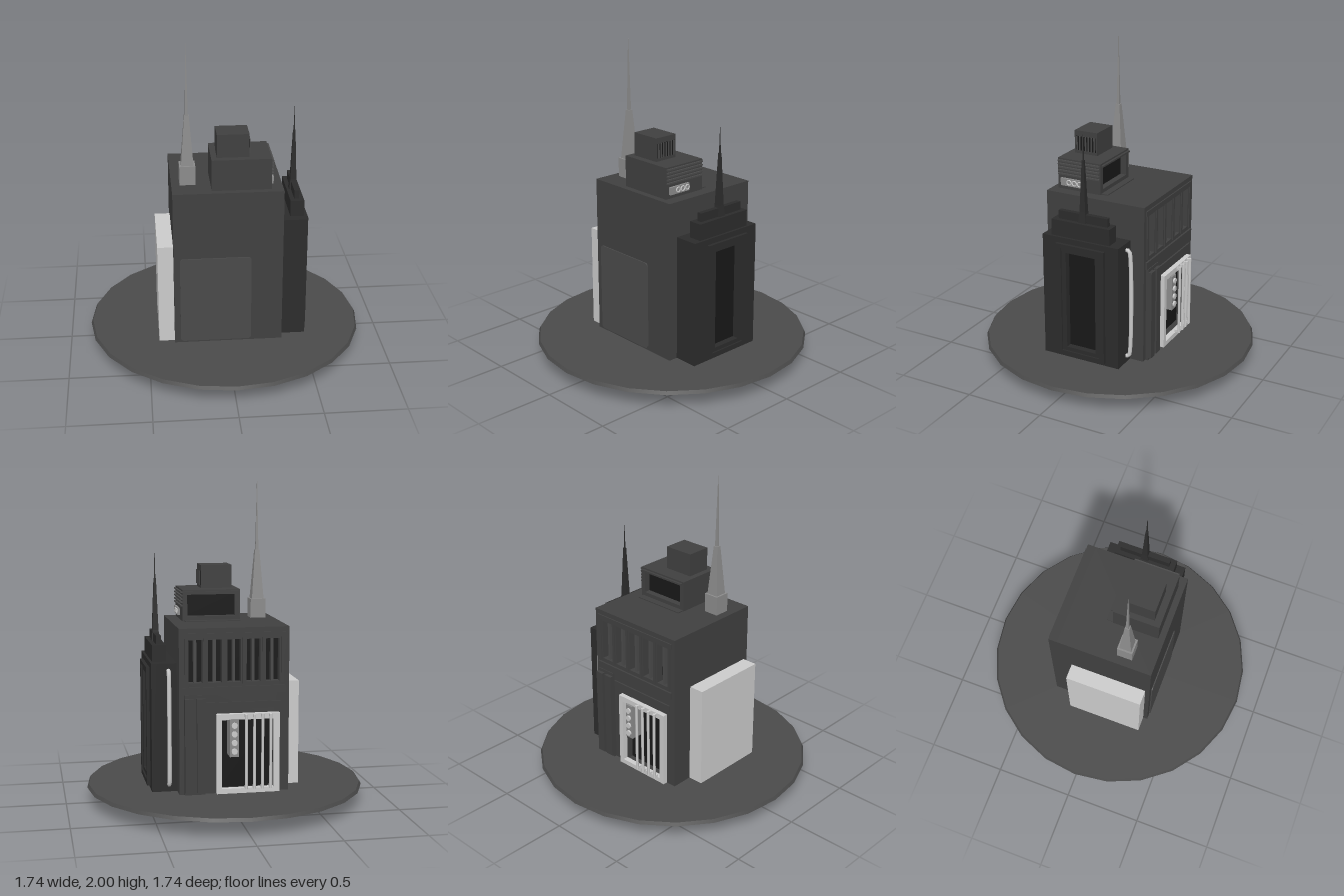
import * as THREE from 'three';

const mat = (color) => new THREE.MeshStandardMaterial({ color, side: THREE.DoubleSide });
const DARK = mat(0x404040), WING = mat(0x2c2c2c), BLACK = mat(0x181818);
const DISC = mat(0x4a4a4a), GREY = mat(0xcccccc), MID = mat(0x8c8c8c);

export function createModel() {
  const model = new THREE.Group();

  const add = (name, geo, m, parent = model) => {
    const mesh = new THREE.Mesh(geo, m);
    mesh.name = name;
    parent.add(mesh);
    return mesh;
  };
  // Box given by its limits
  const box = (name, m, x0, x1, y0, y1, z0, z1) => {
    const g = new THREE.BoxGeometry(x1 - x0, y1 - y0, z1 - z0);
    g.translate((x0 + x1) / 2, (y0 + y1) / 2, (z0 + z1) / 2);
    return add(name, g, m);
  };
  const trace = (p, [a0, a1, b0, b1]) => {
    p.moveTo(a0, b0);
    p.lineTo(a1, b0);
    p.lineTo(a1, b1);
    p.lineTo(a0, b1);
    p.closePath();
    return p;
  };
  // Rectangular plate with rectangular holes, running from z = 0 to depth
  const plate = (rect, holes, depth) => {
    const s = trace(new THREE.Shape(), rect);
    holes.forEach((h) => s.holes.push(trace(new THREE.Path(), h)));
    return new THREE.ExtrudeGeometry(s, { depth, bevelEnabled: false });
  };
  const backPlate = (name, m, rect, holes, z0, z1) =>
    add(name, plate(rect, holes, z1 - z0).translate(0, 0, z0), m);
  const sidePlate = (name, m, [z0, z1, y0, y1], holes, x0, x1) => {
    const flip = holes.map(([a, b, c, d]) => [-b, -a, c, d]);
    const g = plate([-z1, -z0, y0, y1], flip, x1 - x0);
    return add(name, g.rotateY(Math.PI / 2).translate(x0, 0, 0), m);
  };
  // Four-sided tapering length, r0 and r1 being half widths
  const taper = (name, m, x, z, y0, y1, r0, r1) => {
    const g = new THREE.CylinderGeometry(r1 * Math.SQRT2, r0 * Math.SQRT2, y1 - y0, 4)
      .rotateY(Math.PI / 4).translate(x, (y0 + y1) / 2, z).toNonIndexed();
    g.computeVertexNormals();
    return add(name, g, m);
  };

  // Round ground slab
  add('groundDisc', new THREE.CylinderGeometry(0.857, 0.868, 0.02, 24).translate(0, 0.108, 0), DISC);

  // Square foot, hollowed in steps from below
  const foot = [[0.295, 0.235, 0], [0.235, 0.16, 0.03], [0.16, 0.07, 0.055]];
  foot.forEach(([o, i, y], n) => {
    const g = plate([-o, o, -o, o], [[-i, i, -i, i]], 0.1 - y);
    add('footStep' + (n + 1), g.rotateX(-Math.PI / 2).translate(0, y, 0), GREY);
  });
  box('footCore', GREY, -0.07, 0.07, 0.08, 0.1, -0.07, 0.07);

  // Main tower
  box('towerBody', DARK, -0.338, 0.335, 0.118, 1.13, -0.285, 0.329);
  const panel = new THREE.Shape();
  const r = 0.02, px0 = -0.3, px1 = 0.14, py0 = 0.13, py1 = 0.7;
  panel.absarc(px1 - r, py1 - r, r, 0, Math.PI / 2);
  panel.absarc(px0 + r, py1 - r, r, Math.PI / 2, Math.PI);
  panel.absarc(px0 + r, py0 + r, r, Math.PI, Math.PI * 1.5);
  panel.absarc(px1 - r, py0 + r, r, Math.PI * 1.5, Math.PI * 2);
  add('frontPanel', new THREE.ExtrudeGeometry(panel, { depth: 0.007, bevelEnabled: false, curveSegments: 5 })
    .translate(0, 0, 0.329), DISC);

  // Back wall: five tall windows over a doorway
  const windows = [], pitch = 0.118;
  for (let i = 0; i < 5; i++) {
    const c = (i - 2) * pitch;
    windows.push([c - 0.042, c + 0.042, 0.8, 1.06]);
  }
  backPlate('backWall', DARK, [-0.338, 0.335, 0.118, 1.13],
    [...windows, [-0.24, 0.08, 0.14, 0.58]], -0.338, -0.285);
  box('windowGlass', BLACK, -0.29, 0.29, 0.79, 1.07, -0.29, -0.283);
  box('doorwayBack', BLACK, -0.25, 0.09, 0.13, 0.59, -0.29, -0.283);
  windows.forEach(([a, b]) => box('windowMullion', DISC, a + 0.034, b - 0.034, 0.8, 1.06, -0.325, -0.29));
  for (let i = 0; i < 6; i++) {
    const c = (i - 2.5) * pitch;
    box('windowPilaster', DARK, c - 0.008, c + 0.008, 0.79, 1.07, -0.346, -0.335);
  }
  box('windowHead', DARK, -0.315, 0.315, 1.07, 1.1, -0.346, -0.335);
  box('windowSill', DARK, -0.315, 0.315, 0.73, 0.775, -0.35, -0.335);
  box('lowerLedge', DARK, -0.3, 0.17, 0.64, 0.68, -0.348, -0.335);

  // Twin pilasters beside the doorway
  box('pilasterBack', DARK, 0.18, 0.305, 0.118, 0.73, -0.355, -0.335);
  box('pilasterLeft', DARK, 0.253, 0.305, 0.135, 0.71, -0.376, -0.35);
  box('pilasterRight', DARK, 0.18, 0.232, 0.135, 0.71, -0.376, -0.35);

  // Light door frame, upright rods and a small control box
  backPlate('doorFrame', GREY, [-0.275, 0.112, 0.12, 0.61], [[-0.24, 0.08, 0.15, 0.575]], -0.37, -0.335);
  for (let i = 0; i < 4; i++) {
    const x = -0.215 + i * 0.05;
    add('doorRod', new THREE.CylinderGeometry(0.009, 0.009, 0.46, 8).translate(x, 0.38, -0.391), GREY);
    [0.16, 0.6].forEach((y) => box('rodBracket', GREY, x - 0.007, x + 0.007, y - 0.008, y + 0.008, -0.391, -0.365));
  }
  box('controlBox', MID, -0.02, 0.035, 0.35, 0.58, -0.385, -0.29);
  for (let i = 0; i < 4; i++) {
    add('controlDial', new THREE.CylinderGeometry(0.018, 0.018, 0.012, 12)
      .rotateX(Math.PI / 2).translate(0.0075, 0.385 + i * 0.053, -0.39), GREY);
  }

  // Plain annex on the right
  box('annex', GREY, -0.435, -0.33, 0.118, 0.77, -0.2, 0.3);

  // Left wing with a recessed portal
  box('wingCore', WING, 0.33, 0.455, 0.118, 0.91, -0.247, 0.27);
  sidePlate('wingFace', WING, [-0.247, 0.27, 0.118, 0.91], [[-0.095, 0.105, 0.19, 0.82]], 0.455, 0.49);
  sidePlate('portalFrame', WING, [-0.158, 0.17, 0.135, 0.875], [[-0.125, 0.135, 0.165, 0.85]], 0.49, 0.51);
  sidePlate('portalInnerFrame', WING, [-0.125, 0.135, 0.165, 0.85], [[-0.095, 0.105, 0.19, 0.82]], 0.49, 0.5);
  box('portalPanel', BLACK, 0.454, 0.46, 0.19, 0.82, -0.095, 0.105);
  box('wingStepLower', WING, 0.39, 0.475, 0.91, 1.012, -0.18, 0.215);
  box('wingStepUpper', WING, 0.417, 0.447, 1.012, 1.065, -0.152, 0.18);

  // Bent pipe behind the wing
  const pipePath = new THREE.CatmullRomCurve3([
    [-0.24, 0.165], [-0.262, 0.165], [-0.27, 0.18], [-0.27, 0.85], [-0.262, 0.865], [-0.24, 0.865],
  ].map(([z, y]) => new THREE.Vector3(0.386, y, z)), false, 'centripetal');
  add('wingPipe', new THREE.TubeGeometry(pipePath, 40, 0.013, 8), GREY);

  // Dark spire on the wing
  taper('wingSpireBase', WING, 0.431, 0.015, 1.01, 1.08, 0.026, 0.019);
  taper('wingSpireShaft', WING, 0.431, 0.015, 1.08, 1.4, 0.019, 0.007);
  taper('wingSpireTip', WING, 0.431, 0.015, 1.4, 1.555, 0.004, 0.001);

  // Pale spire on the tower roof
  box('spirePlinth', MID, -0.287, -0.19, 1.13, 1.25, 0.09, 0.188);
  taper('spireShaft', MID, -0.238, 0.139, 1.25, 1.56, 0.038, 0.014);
  taper('spireTip', MID, -0.238, 0.139, 1.56, 2, 0.009, 0.001);

  // Roof house, open at the back
  box('roofPad', DARK, -0.095, 0.25, 1.13, 1.136, -0.048, 0.01);
  box('roofHouse', DARK, -0.1, 0.262, 1.13, 1.325, 0.04, 0.29);
  backPlate('roofHouseBack', DARK, [-0.1, 0.262, 1.13, 1.325], [[-0.07, 0.232, 1.16, 1.295]], -0.005, 0.04);
  box('roofHouseRecess', BLACK, -0.07, 0.232, 1.16, 1.295, 0.035, 0.041);
  box('roofHouseLip', DARK, -0.09, 0.25, 1.305, 1.315, -0.02, 0);
  for (let i = 0; i < 5; i++) {
    const y = 1.222 + i * 0.021;
    box('louver', DISC, 0.26, 0.274, y, y + 0.009, 0, 0.285);
  }

  // Cooling unit with three fans
  box('coolingUnit', MID, 0.26, 0.276, 1.155, 1.202, 0.112, 0.265);
  [0.205, 0.168, 0.131].forEach((z) => {
    add('fanRing', new THREE.TorusGeometry(0.015, 0.004, 6, 14)
      .rotateY(Math.PI / 2).translate(0.278, 1.179, z), GREY);
  });

  // Top house with upright slats
  box('topHouse', DARK, -0.065, 0.13, 1.325, 1.47, 0.09, 0.247);
  box('topVent', BLACK, 0.128, 0.132, 1.345, 1.435, 0.1, 0.238);
  for (let i = 0; i < 7; i++) {
    const z = 0.105 + i * 0.02;
    box('topSlat', DISC, 0.13, 0.137, 1.345, 1.435, z, z + 0.008);
  }

  return model;
}
